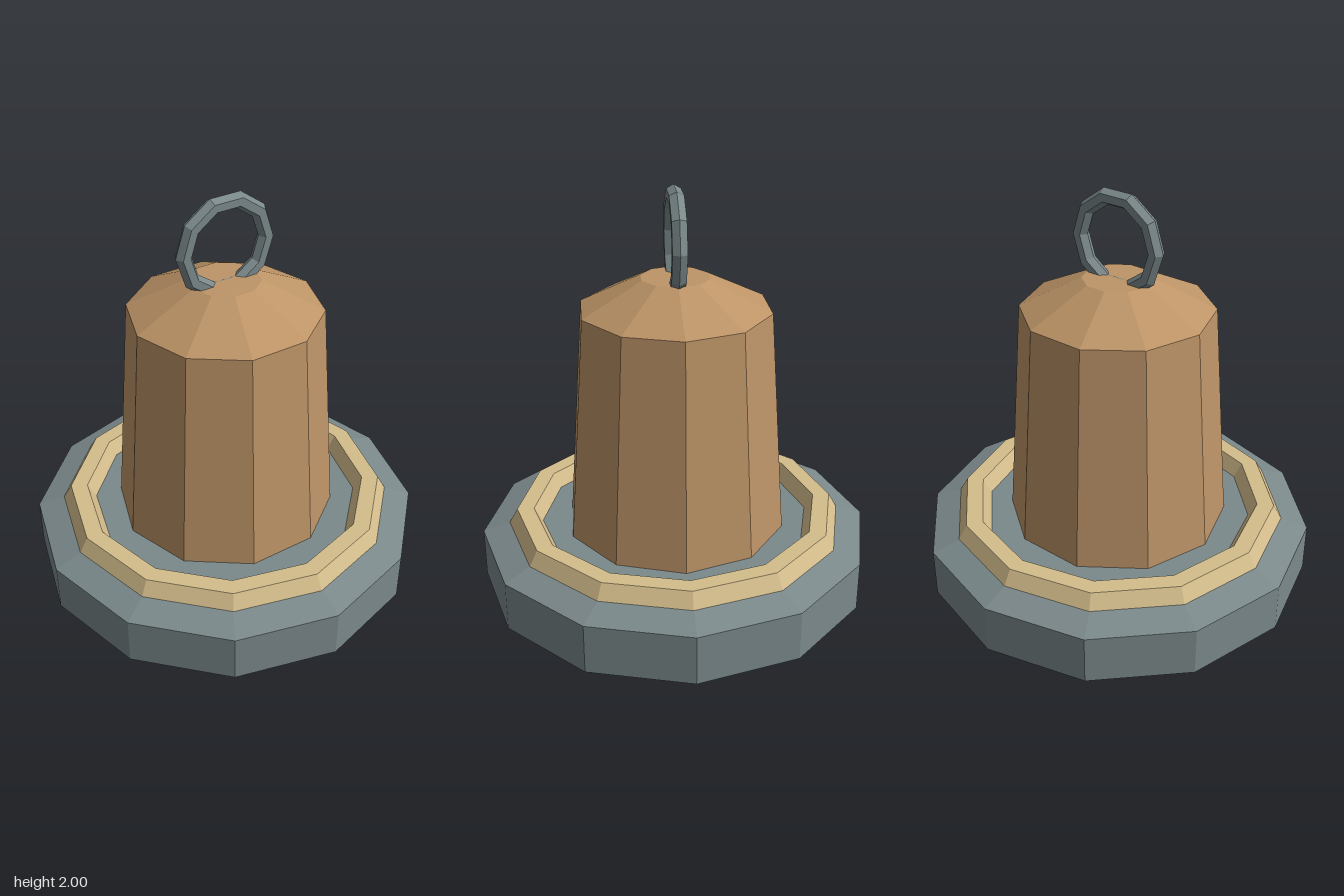
import * as THREE from 'three';

const material = (name, color) => {
  const m = new THREE.MeshStandardMaterial({ color, flatShading: true });
  m.name = name;
  return m;
};

export function createModel() {
  const steel = material('blue grey steel', 0x7b898b);
  const brass = material('pale brass', 0xd4bd8c);
  const bronze = material('brown bronze', 0xbd9467);
  const model = new THREE.Group();
  model.name = 'bellOnStand';

  const add = (name, geometry, mat, parent = model) => {
    const mesh = new THREE.Mesh(geometry, mat);
    mesh.name = name;
    parent.add(mesh);
    return mesh;
  };
  // tapered prism standing between two heights
  const prism = (rBottom, rTop, y0, y1, sides, open = false) =>
    new THREE.CylinderGeometry(rTop, rBottom, y1 - y0, sides, 1, open).translate(0, (y0 + y1) / 2, 0);

  // twelve-sided base with a bevelled top
  const base = new THREE.Group();
  base.name = 'base';
  model.add(base);
  add('basePlinth', prism(0.985, 0.985, 0, 0.25, 12), steel, base);
  add('baseBevel', prism(0.985, 0.85, 0.25, 0.297, 12), steel, base);

  // hexagonal-section trim ring, half sunk into the base
  add('trimRing', new THREE.TorusGeometry(0.765, 0.085, 6, 12).rotateX(-Math.PI / 2), brass).position.y = 0.297;

  // ten-sided bell with corners on the x axis
  const bell = new THREE.Group();
  bell.name = 'bell';
  bell.rotation.y = Math.PI / 2;
  model.add(bell);
  add('bellBody', prism(0.556, 0.47, 0.29, 1.43, 10), bronze, bell);
  add('bellShoulder', prism(0.47, 0.17, 1.43, 1.58, 10), bronze, bell);

  // hanging loop, its foot buried in the shoulder
  add('hangingLoop', new THREE.TorusGeometry(0.22, 0.04, 6, 10), steel).position.y = 1.7527;

  return model;
}
